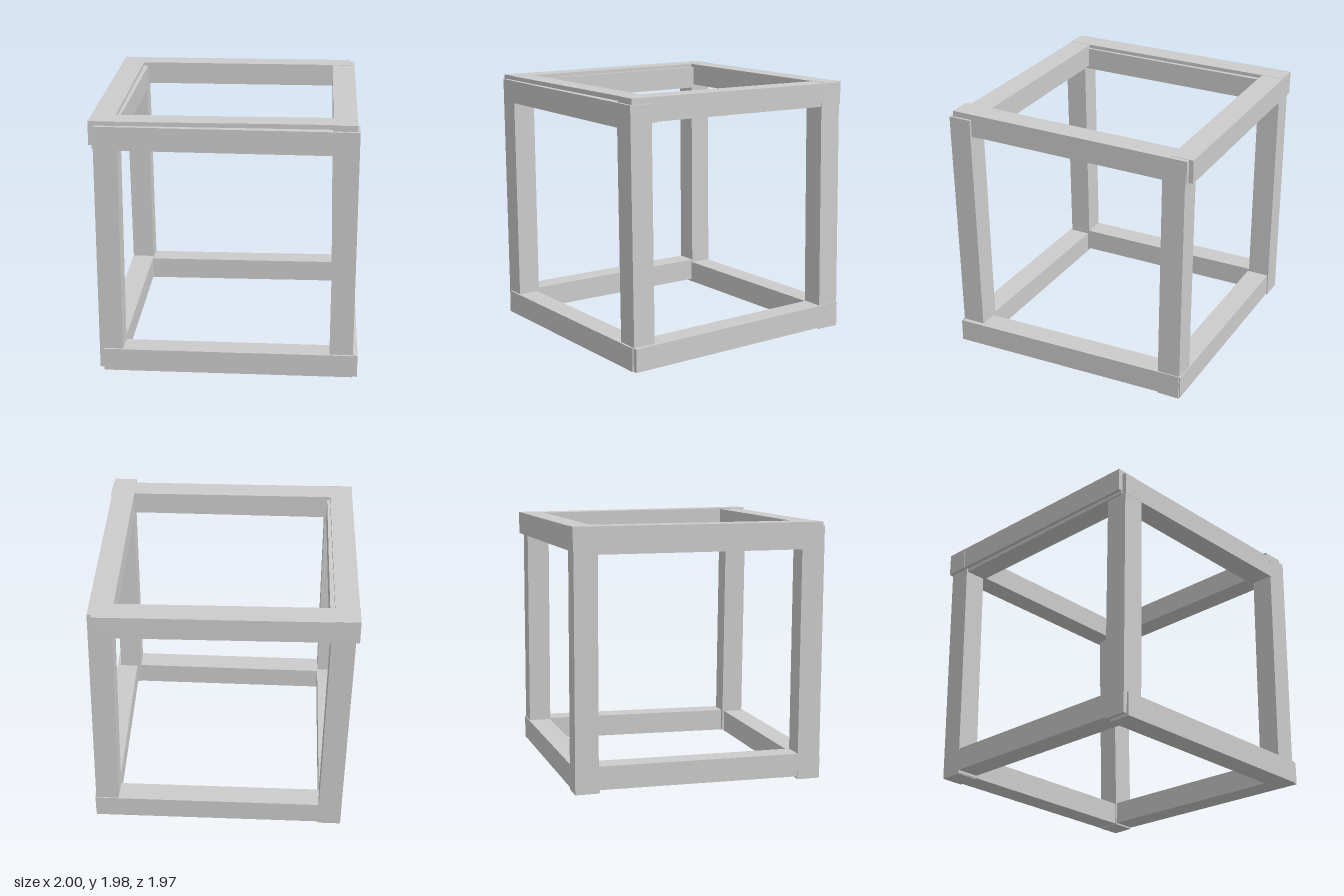
import * as THREE from 'three';

const T = 0.176; // thickness of every beam
const material = new THREE.MeshStandardMaterial({ color: 0xcccccc, flatShading: true });

// Square beam between two end centres, its ends cut square to the main axis
function beam(name, axis, a, b) {
  const size = [T, T, T];
  size[axis] = 1;
  const geo = new THREE.BoxGeometry(...size);
  const pos = geo.attributes.position;
  const p = new THREE.Vector3();
  for (let i = 0; i < pos.count; i++) {
    p.fromBufferAttribute(pos, i);
    const t = p.getComponent(axis) + 0.5;
    p.setComponent(axis, 0);
    for (let k = 0; k < 3; k++) {
      p.setComponent(k, p.getComponent(k) + a[k] + (b[k] - a[k]) * t);
    }
    pos.setXYZ(i, p.x, p.y, p.z);
  }
  geo.computeVertexNormals();
  const mesh = new THREE.Mesh(geo, material);
  mesh.name = name;
  return mesh;
}

export function createModel() {
  const group = new THREE.Group();
  group.name = 'cubeFrame';
  const X = 0, Y = 1, Z = 2;
  const beams = [
    // upper square, slightly askew
    ['topRightBeam', Z, [-0.91, 1.88, -0.95], [-0.89, 1.88, 0.95]],
    ['topLeftBeam', Z, [0.84, 1.877, -0.95], [0.86, 1.892, 0.96]],
    ['topBackBeam', X, [-1.0, 1.878, -0.863], [0.895, 1.88, -0.897]],
    ['topFrontBeam', X, [-0.98, 1.878, 0.863], [0.94, 1.884, 0.828]],
    // lower inner beams beneath the upper square
    ['frontLintel', X, [-0.94, 1.848, 0.892], [0.965, 1.848, 0.892]],
    ['rightLintel', Z, [-0.875, 1.852, -0.94], [-0.868, 1.852, 0.95]],
    // leaning posts
    ['frontLeftPost', Y, [0.877, 0.02, 0.87], [0.877, 1.935, 0.894]],
    ['frontRightPost', Y, [-0.863, 0.02, 0.875], [-0.855, 1.935, 0.892]],
    ['backLeftPost', Y, [0.878, 0.03, -0.853], [0.842, 1.94, -0.853]],
    ['backRightPost', Y, [-0.863, 0.02, -0.853], [-0.888, 1.94, -0.853]],
    // bottom square
    ['bottomLeftBeam', Z, [0.882, 0.135, -0.94], [0.912, 0.1, 0.965]],
    ['bottomRightBeam', Z, [-0.865, 0.135, -0.94], [-0.86, 0.12, 0.95]],
    ['bottomFrontBeam', X, [-0.92, 0.09, 0.892], [0.965, 0.1, 0.888]],
    ['bottomBackBeam', X, [-0.95, 0.112, -0.843], [0.96, 0.126, -0.862]],
  ];
  for (const b of beams) group.add(beam(...b));
  return group;
}
